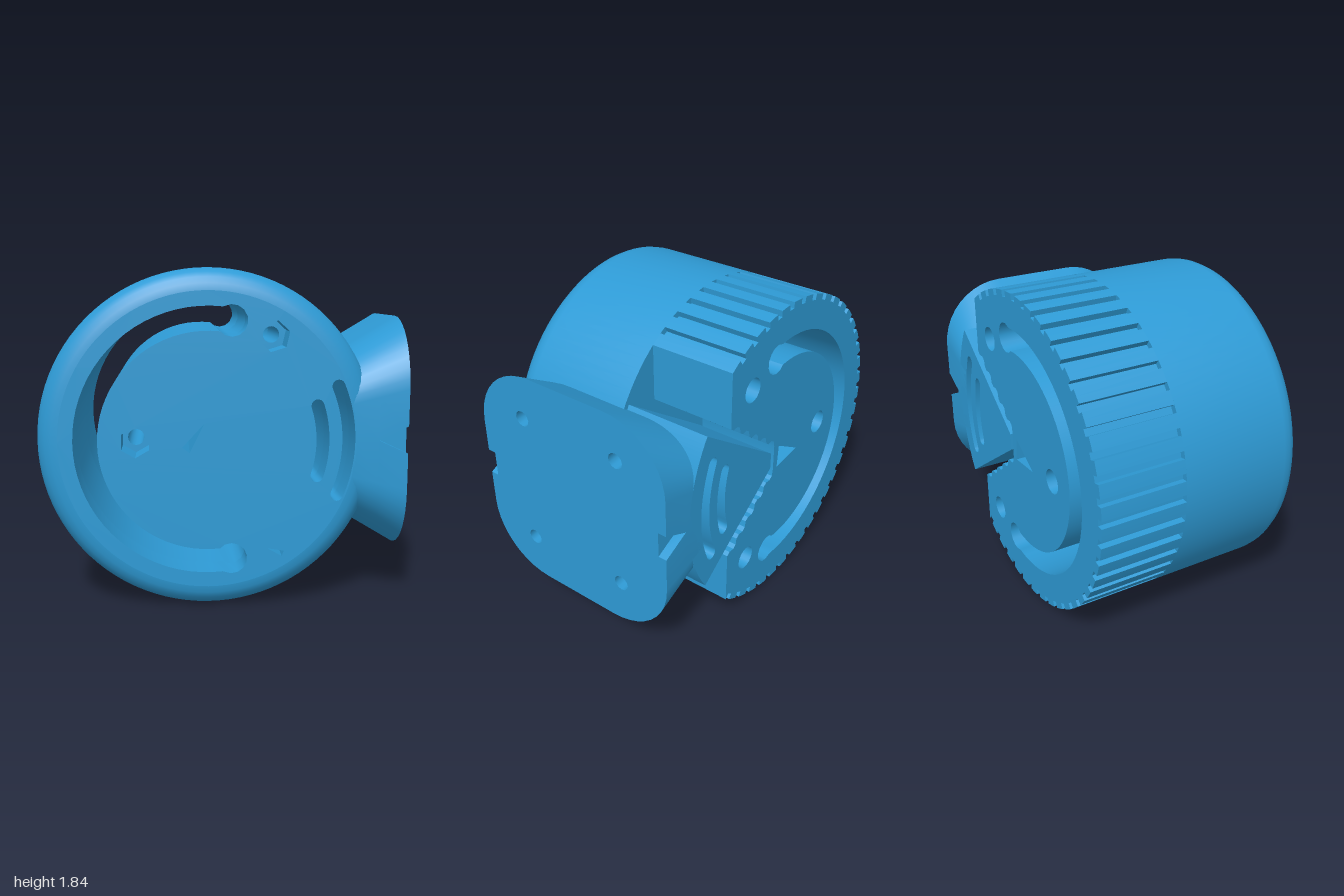
import * as THREE from 'three';
import { toCreasedNormals } from 'three/addons/utils/BufferGeometryUtils.js';

const material = new THREE.MeshStandardMaterial({ color: 0x2e9bd6 });
const boreMaterial = new THREE.MeshStandardMaterial({ color: 0x2e9bd6, side: THREE.DoubleSide });
const BACK = -0.63, STEP = -0.13, SEAT = 0.45, FRONT = 0.63;
const R = 0.92, CORE = 0.8, FACE_X = 1.08; // radii and mounting face, from the drum axis
const rad = THREE.MathUtils.degToRad;
const polar = (r, a, x = 0, y = 0) => new THREE.Vector2(x + r * Math.cos(a), y + r * Math.sin(a));
const points = (...pairs) => pairs.map(([x, y]) => new THREE.Vector2(x, y));

function mesh(name, geometry, mat = material) {
  const m = new THREE.Mesh(toCreasedNormals(geometry, 0.55), mat);
  m.name = name;
  return m;
}

function polygon(r, sides, x = 0, y = 0, turn = 0) {
  return Array.from({ length: sides }, (_, i) => polar(r, turn + (i / sides) * Math.PI * 2, x, y));
}

function arc(r, a0, a1, n) {
  return Array.from({ length: n + 1 }, (_, i) => polar(r, a0 + ((a1 - a0) * i) / n));
}

// Slot along a circle, with round ends of radius endR
function arcSlot(r, half, a0, a1, endR = half, n = 40) {
  const open = Math.asin(half / endR); // where the end circle leaves the channel
  const end = (a, start) => Array.from({ length: 11 }, (_, i) => {
    const t = -(Math.PI - open) + ((2 * (Math.PI - open)) * i) / 10;
    const c = polar(r, a);
    return polar(endR, start + t, c.x, c.y);
  });
  const round = endR > half;
  const trim = round ? Math.sqrt(endR * endR - half * half) / r : 0;
  const outer = arc(r + half, a0 + trim, a1 - trim, n);
  const inner = arc(r - half, a1 - trim, a0 + trim, n);
  const cap1 = round ? end(a1, a1 + Math.PI / 2) : capArc(r, half, a1, 0);
  const cap0 = round ? end(a0, a0 - Math.PI / 2) : capArc(r, half, a0, Math.PI);
  return [...outer, ...cap1.slice(1, -1), ...inner, ...cap0.slice(1, -1)];
}

function capArc(r, half, a, turn) {
  const c = polar(r, a);
  return Array.from({ length: 9 }, (_, i) => polar(half, a + turn + (i / 8) * Math.PI, c.x, c.y));
}

function slab(name, outline, holes, z0, z1) {
  const shape = new THREE.Shape(outline);
  shape.holes = holes.map((h) => new THREE.Path(h));
  const g = new THREE.ExtrudeGeometry(shape, { depth: z1 - z0, bevelEnabled: false });
  g.translate(0, 0, z0);
  return mesh(name, g);
}

// Toothed sector with straight ends and a notched wedge opening
function gearOutline() {
  const out = [], a0 = rad(54), span = rad(252), teeth = 34;
  for (let i = 0; i < teeth; i++) {
    const a = a0 + (span * i) / teeth, s = span / teeth;
    out.push(polar(R, a), polar(R, a + s * 0.32), polar(R, a + s * 0.64));
    out.push(polar(0.885, a + s * 0.65), polar(0.885, a + s * 0.99));
  }
  out.push(polar(R, a0 + span));
  const edge = [], from = [0.54, 0.42], to = [0.1, 0.08];
  for (let i = 0; i <= 20; i++) {
    const t = i / 20, bump = i % 4 > 1 ? 0.025 : 0;
    edge.push([from[0] + (to[0] - from[0]) * t - bump * 0.6, from[1] + (to[1] - from[1]) * t + bump * 0.8]);
  }
  edge.forEach(([x, y]) => out.push(new THREE.Vector2(x, -y)));
  edge.reverse().forEach(([x, y]) => out.push(new THREE.Vector2(x, y)));
  return out;
}

// Rounded mounting outline as {y, z, notch}; notch corners close up towards the drum
function mountLoop() {
  const hy = 0.655, hz = 0.63, r = 0.38, loop = [];
  const corner = (cy, cz, a0) => {
    for (let i = 0; i <= 10; i++) {
      const a = a0 + (i / 10) * Math.PI / 2;
      loop.push({ y: cy + r * Math.sin(a), z: cz + r * Math.cos(a) });
    }
  };
  const notch = (s) => [[-1, 0.63], [-1, 0.58], [1, 0.58], [1, 0.63]].forEach(([k, z]) =>
    loop.push({ y: 0.075 * k * s, z: z * s, notch: true }));
  notch(1);
  corner(hy - r, hz - r, 0);
  corner(hy - r, r - hz, Math.PI / 2);
  notch(-1);
  corner(r - hy, r - hz, Math.PI);
  corner(r - hy, hz - r, Math.PI * 1.5);
  return loop;
}

function mountGeometry(loop) {
  const n = loop.length, pos = [], index = [];
  for (let s = 0; s < 3; s++) {
    for (const p of loop) {
      const a = Math.atan2(p.notch ? 0 : p.y, FACE_X);
      const x = [CORE * Math.cos(a), 0.92, FACE_X][s];
      const y = p.notch && s < 2 ? 0 : (p.y * x) / FACE_X;
      pos.push(x, y, p.z);
    }
  }
  for (let s = 0; s < 2; s++) {
    for (let i = 0; i < n; i++) {
      const a = s * n + i, b = s * n + ((i + 1) % n), c = a + n, d = b + n;
      index.push(a, c, b, b, c, d);
    }
  }
  const g = new THREE.BufferGeometry();
  g.setAttribute('position', new THREE.Float32BufferAttribute(pos, 3));
  g.setIndex(index);
  g.computeVertexNormals();
  return g;
}

export function createModel() {
  const model = new THREE.Group();
  const drum = new THREE.Group();
  drum.name = 'drum';
  const mount = new THREE.Group();
  mount.name = 'mount';
  model.add(drum, mount);

  // Openings shared by the layers of the drum
  const channel = arcSlot(0.655, 0.065, rad(79), rad(281), 0.085);
  const sideSlots = [arcSlot(0.615, 0.035, rad(-18), rad(18), 0.035, 12), arcSlot(0.755, 0.035, rad(-23), rad(23), 0.035, 14)];
  const bolts = [[-0.39, 0], [0.35, 0.56], [0.35, -0.56]];
  const sliver = points([-0.02, 0.1], [-0.14, -0.03], [-0.1, -0.06]);
  const disc = polygon(CORE, 96);

  // Toothed back, core and front face with hexagonal seats
  drum.add(slab('toothedBack', gearOutline(),
    [channel, ...bolts.map(([x, y]) => polygon(0.07, 20, x, y)), points([0.05, 0.06], [-0.15, -0.06], [0.06, -0.08])], BACK, STEP));
  drum.add(slab('drumCore', disc,
    [channel, ...sideSlots, sliver, ...bolts.slice(0, 2).map(([x, y]) => polygon(0.045, 16, x, y))], STEP, SEAT));
  drum.add(slab('drumFace', disc,
    [channel, ...sideSlots, sliver, polygon(0.085, 6, ...bolts[0], Math.PI / 6), polygon(0.085, 6, ...bolts[1], 0.3),
      points([0.32, -0.59], [0.41, -0.605], [0.4, -0.635])], SEAT, FRONT));

  // Outer wall with a rounded front rim
  const rim = [[CORE, STEP], [R, STEP]];
  for (let i = 0; i <= 5; i++) {
    const a = (i / 5) * Math.PI / 2;
    rim.push([CORE + 0.12 * Math.cos(a), 0.51 + 0.12 * Math.sin(a)]);
  }
  const wall = new THREE.LatheGeometry(points(...rim), 96);
  wall.rotateX(Math.PI / 2);
  drum.add(mesh('drumWall', wall));

  // Wedge that reaches from the mount towards the axis
  const wedge = [...points([0.13, 0.05], [0.13, -0.05]), ...arc(0.89, rad(-33), rad(33), 24)];
  mount.add(slab('wedge', wedge, sideSlots, BACK, STEP));

  // Tapered neck and its flat mounting face
  const loop = mountLoop();
  mount.add(mesh('mountNeck', mountGeometry(loop), boreMaterial));
  const face = new THREE.Shape(loop.map((p) => new THREE.Vector2(-p.z, p.y)));
  const screws = [[-0.32, 0.395], [0.32, 0.395], [-0.32, -0.395], [0.32, -0.395]];
  face.holes = screws.map(([z, y]) => new THREE.Path(polygon(0.045, 12, z, y)));
  const faceGeometry = new THREE.ShapeGeometry(face);
  faceGeometry.rotateY(Math.PI / 2);
  faceGeometry.translate(FACE_X, 0, 0);
  mount.add(mesh('mountFace', faceGeometry));

  // Blind screw holes
  for (const [z, y] of screws) {
    const bore = new THREE.CylinderGeometry(0.045, 0.045, 0.15, 12, 1, true);
    bore.rotateZ(Math.PI / 2);
    bore.translate(FACE_X - 0.075, y, z);
    mount.add(mesh('screwHole', bore, boreMaterial));
    const floor = new THREE.CircleGeometry(0.046, 12);
    floor.rotateY(Math.PI / 2);
    floor.translate(FACE_X - 0.15, y, z);
    mount.add(mesh('screwHoleFloor', floor));
  }

  drum.position.set(-0.08, 0.92, 0);
  mount.position.copy(drum.position);
  return model;
}
